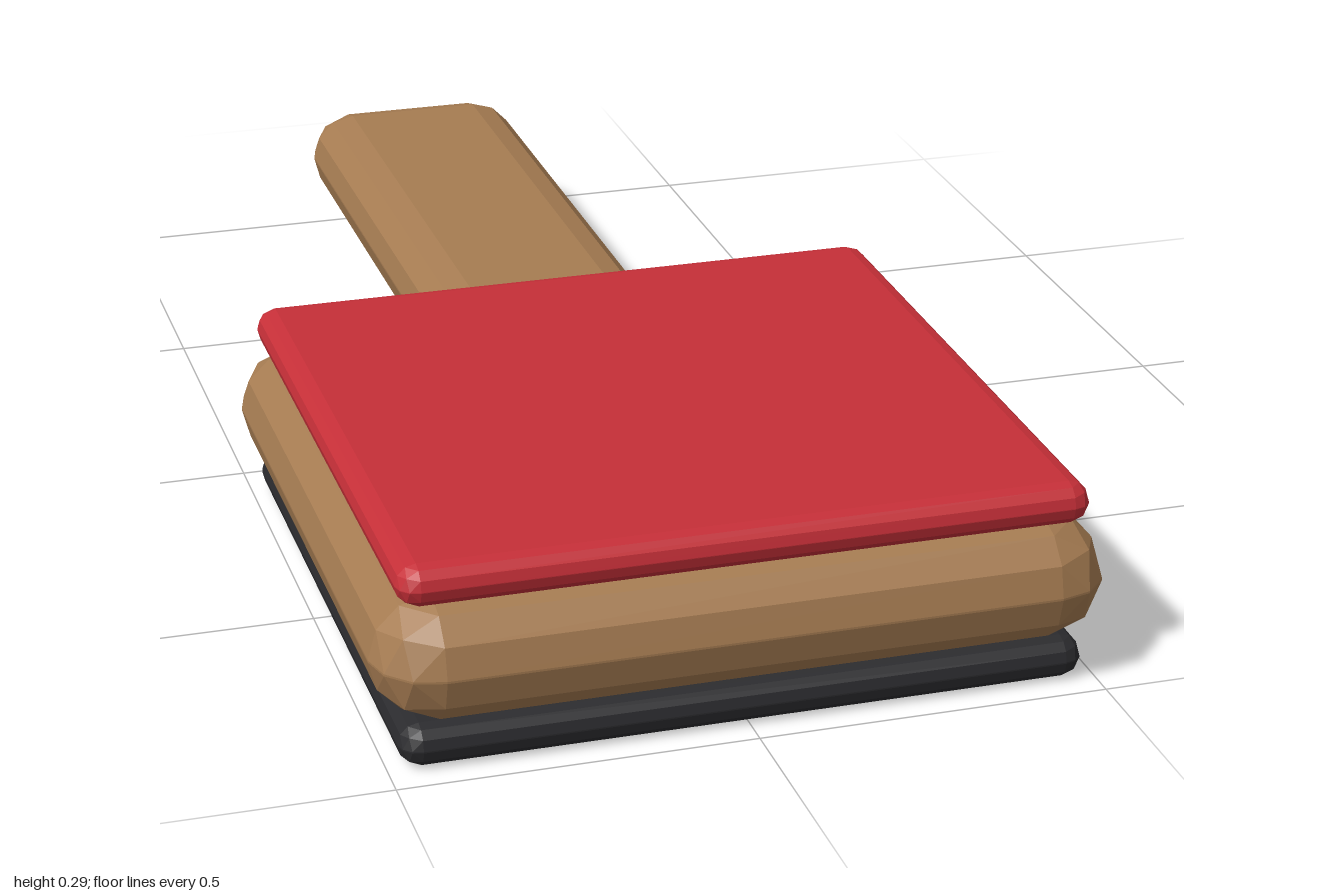
import * as THREE from 'three';
import { ConvexGeometry } from 'three/addons/geometries/ConvexGeometry.js';

const material = (color) => new THREE.MeshStandardMaterial({ color, flatShading: true });

// Box with three-step rounded edges, spanning the corners min..max.
function bevelledBox(name, min, max, radius, mat) {
  const size = max.map((v, i) => v - min[i]);
  const inner = size.map((s) => s / 2 - radius);
  const step = (n) => Math.sin((n * Math.PI) / 6);
  const points = [];
  for (const sx of [-1, 1]) for (const sy of [-1, 1]) for (const sz of [-1, 1]) {
    // Triangular grid of directions across one corner
    for (let i = 0; i <= 3; i++) for (let j = 0; i + j <= 3; j++) {
      const p = new THREE.Vector3(step(i), step(j), step(3 - i - j)).setLength(radius);
      p.add(new THREE.Vector3(...inner));
      points.push(p.multiply(new THREE.Vector3(sx, sy, sz)));
    }
  }
  const mesh = new THREE.Mesh(new ConvexGeometry(points), mat);
  mesh.name = name;
  mesh.position.set(...min.map((v, i) => (v + max[i]) / 2));
  return mesh;
}

export function createModel() {
  const model = new THREE.Group();
  model.name = 'squarePaddle';
  const wood = material(0xa67c52);
  const red = material(0xc62f38);
  const black = material(0x2b2b2e);

  model.add(
    // Wooden blade and the handle set into its back edge
    bevelledBox('blade', [-0.515, 0.06, 0], [0.515, 0.235, 1], 0.086, wood),
    bevelledBox('handle', [-0.18, 0.076, -1], [0.18, 0.221, 0.2], 0.071, wood),
    // Rubber pads on both faces
    bevelledBox('topPad', [-0.483, 0.235, 0.035], [0.483, 0.294, 0.967], 0.029, red),
    bevelledBox('bottomPad', [-0.483, 0, 0.035], [0.483, 0.06, 0.967], 0.029, black),
  );
  return model;
}
